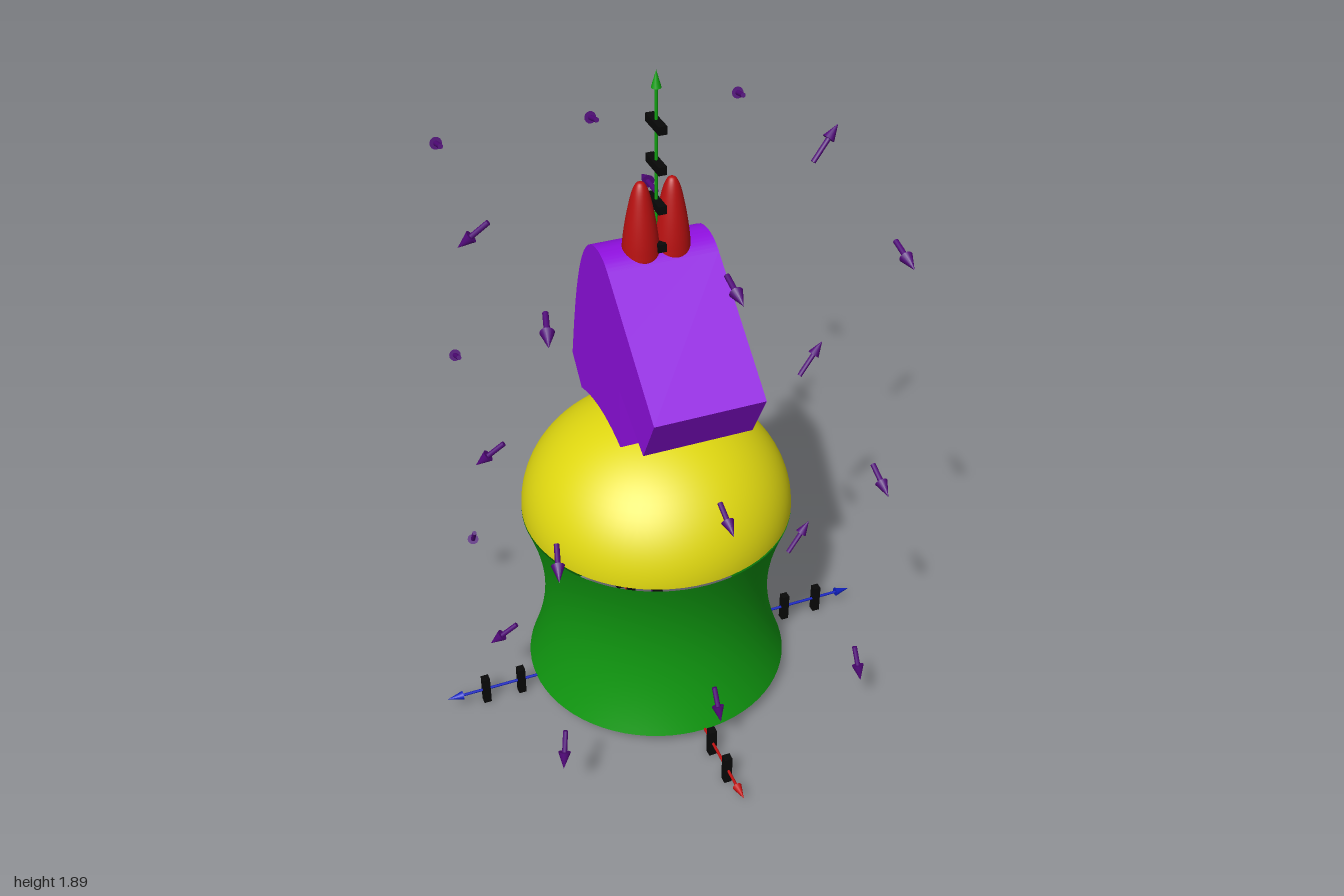
import * as THREE from 'three';
import { toCreasedNormals } from 'three/addons/utils/BufferGeometryUtils.js';

const CX = 0.015, CZ = 0.018, BASE = 0.05, UNIT = 0.107;
const V = (x, y, z) => new THREE.Vector3(x, y, z);
const paint = (color, side = THREE.FrontSide) => new THREE.MeshStandardMaterial({ color, side });
const green = paint(0x109810, THREE.DoubleSide);
const yellow = paint(0xe0d810, THREE.DoubleSide);
const purple = paint(0x9010e0);
const indigo = paint(0x500878);
const red = paint(0xb81010);
const black = paint(0x080808);

function add(parent, name, geometry, material, x = 0, y = 0, z = 0) {
  const mesh = new THREE.Mesh(geometry, material);
  mesh.name = name;
  mesh.position.set(x, y, z);
  parent.add(mesh);
  return mesh;
}

// Arrow: a thin shaft and a cone, pointing from one point to another
function arrow(name, from, to, shaft, headRadius, headLength, material) {
  const group = new THREE.Group();
  group.name = name;
  const direction = to.clone().sub(from);
  const length = direction.length();
  const rod = length - headLength;
  add(group, 'shaft', new THREE.CylinderGeometry(shaft, shaft, rod, 10), material, 0, rod / 2, 0);
  add(group, 'head', new THREE.ConeGeometry(headRadius, headLength, 14), material, 0, length - headLength / 2, 0);
  group.position.copy(from);
  group.quaternion.setFromUnitVectors(V(0, 1, 0), direction.normalize());
  return group;
}

// Open waisted body
function makeBody(root) {
  const points = [];
  for (let i = 0; i <= 32; i++) {
    const t = i / 16 - 1;
    points.push(new THREE.Vector2(Math.sqrt(0.325 ** 2 + (0.38 ** 2 - 0.325 ** 2) * t * t), 0.325 + 0.275 * t));
  }
  add(root, 'waistedBody', new THREE.LatheGeometry(points, 72), green, CX, 0, CZ);
}

// Flattened half sphere
function makeDome(root) {
  const geometry = new THREE.SphereGeometry(0.38, 72, 24, 0, Math.PI * 2, 0, Math.PI / 2);
  geometry.scale(1, 0.316 / 0.38, 1);
  add(root, 'dome', geometry, yellow, CX, 0.607, CZ);
}

// Horse head: side profile drawn as (z, y), extruded across x
function makeHead(root) {
  const s = new THREE.Shape();
  s.moveTo(0.385, 1.148);
  s.lineTo(0.31, 1.008);
  s.lineTo(0.143, 1.098);
  s.lineTo(0.143, 0.918);
  s.quadraticCurveTo(-0.01, 0.967, -0.164, 0.91);
  s.lineTo(-0.235, 0.984);
  s.bezierCurveTo(-0.19, 1.21, -0.14, 1.44, 0.0, 1.434);
  s.quadraticCurveTo(0.04, 1.432, 0.07, 1.407);
  s.closePath();
  const geometry = new THREE.ExtrudeGeometry(s, { depth: 0.3, bevelEnabled: false, curveSegments: 16 });
  geometry.rotateY(-Math.PI / 2);
  add(root, 'horseHead', toCreasedNormals(geometry, 0.35), purple, 0.165, 0, 0);
}

// Two pointed ears
function makeEars(root) {
  const profile = new THREE.SplineCurve([
    [0, 1.395], [0.044, 1.4], [0.048, 1.43], [0.04, 1.5], [0.025, 1.575], [0.012, 1.608], [0, 1.614],
  ].map(([r, y]) => new THREE.Vector2(r, y))).getPoints(30);
  profile.forEach(p => { p.x = Math.max(0, p.x); });
  for (const side of [-1, 1]) {
    add(root, side > 0 ? 'leftEar' : 'rightEar', new THREE.LatheGeometry(profile, 32), red, CX + side * 0.042, 0, CZ);
  }
}

// Three axes with arrowheads and tick marks
function makeAxes(root) {
  const axes = new THREE.Group();
  axes.name = 'axes';
  root.add(axes);
  const blue = paint(0x1020c0), crimson = paint(0xc01010), leaf = paint(0x10a010);
  const origin = V(CX, BASE, CZ);
  for (const s of [-1, 1]) {
    axes.add(arrow('sideAxis', origin, V(CX + s * 0.65, BASE, CZ), 0.004, 0.013, 0.045, blue));
    axes.add(arrow('depthAxis', origin, V(CX, BASE, CZ + s * 0.65), 0.004, 0.013, 0.045, crimson));
  }
  axes.add(arrow('heightAxis', origin, V(CX, 1.9, CZ), 0.004, 0.013, 0.045, leaf));

  const upright = new THREE.BoxGeometry(0.022, 0.09, 0.022);
  const flat = new THREE.BoxGeometry(0.022, 0.022, 0.09);
  for (let k = -5; k <= 5; k++) {
    add(axes, 'sideTick', upright, black, CX + k * UNIT, BASE, CZ);
    if (k !== 0) add(axes, 'depthTick', upright, black, CX, BASE, CZ + k * UNIT);
  }
  for (let k = 1; k <= 16; k++) add(axes, 'heightTick', flat, black, CX, BASE + k * UNIT, CZ);
}

// Grid of small direction arrows around the piece
function makeField(root) {
  const field = new THREE.Group();
  field.name = 'directionArrows';
  root.add(field);
  const levels = [0.27, 0.92, 1.58];
  const drop = [-0.085, -0.04, -0.027];
  const reach = [0.05, 0.09, 0.095];
  const spread = [0.06, 0.02, 0.012];
  levels.forEach((y, n) => {
    for (const i of [-1, 0, 1]) for (const k of [-1, 0, 1]) {
      const from = V(CX + i * 0.43, y, CZ + k * 0.435);
      let step;
      if (k !== 0) step = V(k < 0 ? Math.max(i, 0) * spread[n] : Math.min(i, 0) * 0.025, drop[n], k * reach[n]);
      else if (i > 0) step = V(0.075, 0.085, -0.02);
      else if (i < 0) step = V(-0.075, -0.065, -0.02);
      else step = n === 2 ? V(0, 0, -0.1) : V(-0.03, n ? 0.075 : -0.08, -0.02);
      field.add(arrow('directionArrow', from, from.clone().add(step), 0.007, 0.017, 0.045, indigo));
    }
  });
}

export function createModel() {
  const root = new THREE.Group();
  root.name = 'knightPiece';
  makeBody(root);
  makeDome(root);
  makeHead(root);
  makeEars(root);
  makeAxes(root);
  makeField(root);
  return root;
}
